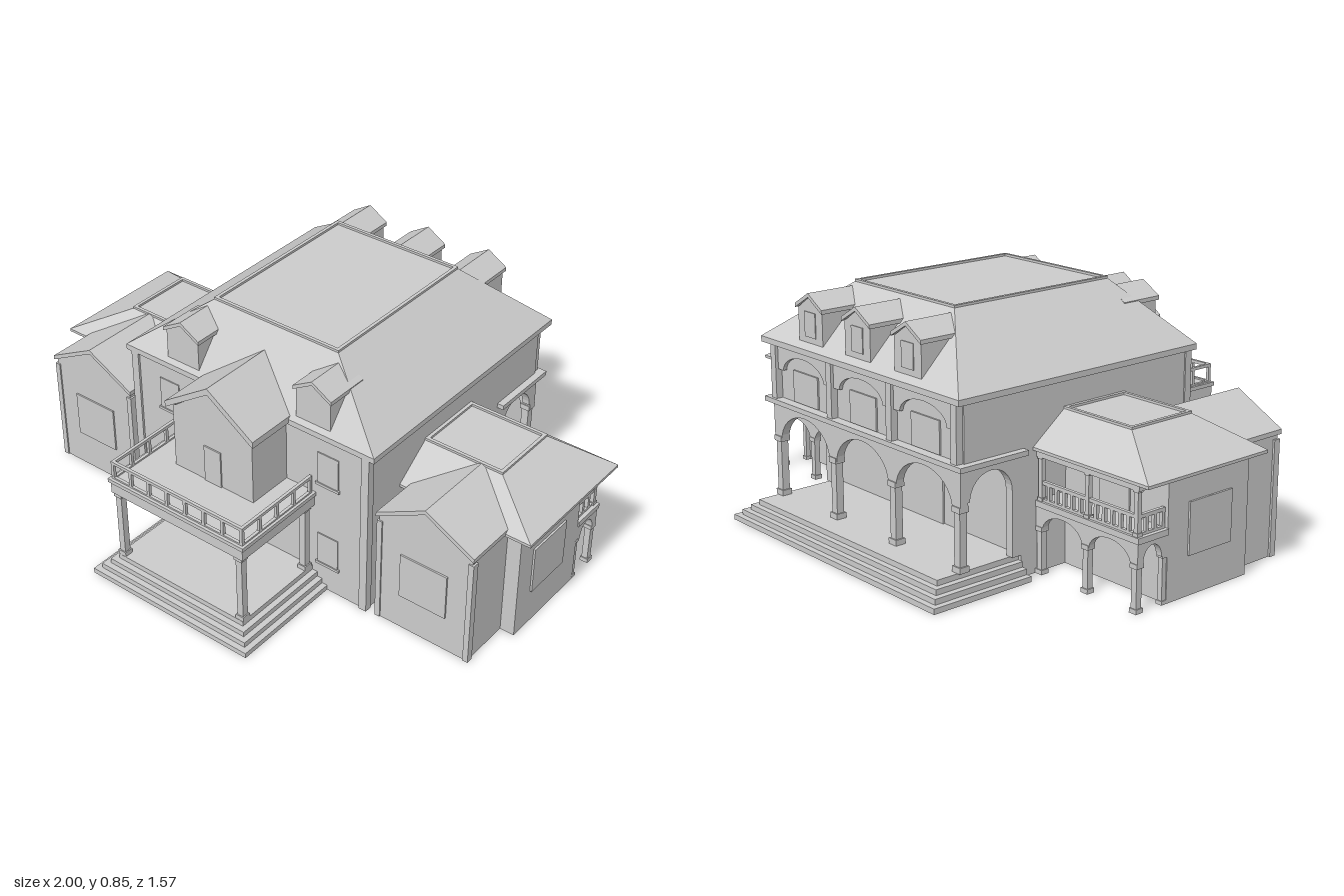
import * as THREE from 'three';

const material = new THREE.MeshStandardMaterial({ color: 0xcccccc, flatShading: true, side: THREE.DoubleSide });

function add(parent, name, geometry) {
  const mesh = new THREE.Mesh(geometry, material);
  mesh.name = name;
  parent.add(mesh);
  return mesh;
}

// Box given by its limits on each axis
function box(parent, name, xa, xb, y0, y1, za, zb) {
  const g = new THREE.BoxGeometry(Math.abs(xb - xa), y1 - y0, Math.abs(zb - za));
  return add(parent, name, g.translate((xa + xb) / 2, (y0 + y1) / 2, (za + zb) / 2));
}

// Box without floor or ceiling
function walls(parent, name, ...limits) {
  const g = box(parent, name, ...limits).geometry;
  const index = Array.from(g.index.array);
  g.setIndex([...index.slice(0, 12), ...index.slice(24)]);
  g.clearGroups();
}

// Hipped roof: fascia, sloping block and a raised rim round the flat top; rect = [x0, x1, z0, z1]
function hipRoof(parent, name, eave, top, y0, y1, fascia) {
  const [ex0, ex1, ez0, ez1] = eave, [tx0, tx1, tz0, tz1] = top;
  box(parent, name + 'Fascia', ex0, ex1, y0 - fascia, y0, ez0, ez1);
  const g = new THREE.BoxGeometry(1, 1, 1), p = g.attributes.position, rim = 0.008;
  for (let i = 0; i < p.count; i++) {
    const up = p.getY(i) > 0, r = up ? top : eave;
    p.setXYZ(i, r[p.getX(i) > 0 ? 1 : 0], up ? y1 - rim : y0, r[p.getZ(i) > 0 ? 3 : 2]);
  }
  g.computeVertexNormals();
  add(parent, name, g);
  const t = 0.012;
  box(parent, name + 'Rim', tx0, tx1, y1 - rim, y1, tz0, tz0 + t);
  box(parent, name + 'Rim', tx0, tx1, y1 - rim, y1, tz1 - t, tz1);
  box(parent, name + 'Rim', tx0, tx0 + t, y1 - rim, y1, tz0 + t, tz1 - t);
  box(parent, name + 'Rim', tx1 - t, tx1, y1 - rim, y1, tz0 + t, tz1 - t);
}

function extrude(points, depth) {
  const shape = new THREE.Shape(points.map(([x, y]) => new THREE.Vector2(x, y)));
  return new THREE.ExtrudeGeometry(shape, { depth, bevelEnabled: false });
}

// Gabled block facing +z or -z (dir); z1 is the outer edge of its roof, z0 the ridge's inner end
function gable(parent, name, cx, half, y0, eave, ridge, z0, z1, over, thick) {
  const dir = Math.sign(z1 - z0), wall = z1 - dir * over, w = half - over;
  const drop = thick * 0.9;
  const front = extrude([[-w, eave - drop], [w, eave - drop], [0, ridge - drop]], 0.004);
  add(parent, name + 'Pediment', front.translate(cx, 0, wall - (dir > 0 ? 0.004 : 0)));
  walls(parent, name + 'Walls', cx - w, cx + w, y0, eave - drop * 0.6, z0, wall);
  const roof = extrude([[-half, eave], [-half, eave - thick], [0, ridge - thick],
    [half, eave - thick], [half, eave], [0, ridge]], Math.abs(z1 - z0));
  add(parent, name + 'Roof', roof.translate(cx, 0, Math.min(z0, z1)));
}

// Square column with plinth and capital
function column(parent, name, x, z, y0, y1, w) {
  const h = w / 2, k = h * 1.35, c = w * 0.7;
  box(parent, name, x - h, x + h, y0, y1, z - h, z + h);
  box(parent, name + 'Base', x - k, x + k, y0, y0 + c, z - k, z + k);
  box(parent, name + 'Capital', x - k, x + k, y1 - c, y1, z - k, z + k);
}

// Wall strip with n round-headed openings, along x or along z
function arches(parent, name, alongZ, a, b, n, pier, spring, rise, top, at, thick) {
  const a0 = Math.min(a, b), a1 = Math.max(a, b), bay = (a1 - a0 - pier) / n, r = (bay - pier) / 2;
  const s = new THREE.Shape();
  s.moveTo(a0, top); s.lineTo(a0, spring);
  for (let i = 0; i < n; i++) {
    const c = a0 + pier / 2 + bay * (i + 0.5);
    s.lineTo(c - r, spring);
    s.absellipse(c, spring, r, rise, Math.PI, 0, true);
  }
  s.lineTo(a1, spring); s.lineTo(a1, top);
  const g = new THREE.ExtrudeGeometry(s, { depth: thick, bevelEnabled: false, curveSegments: 8 });
  if (alongZ) g.rotateY(-Math.PI / 2).translate(at + thick / 2, 0, 0);
  else g.translate(0, 0, at - thick / 2);
  add(parent, name, g);
}

// Railing between two points, with n panels
function railing(parent, name, [xa, za], [xb, zb], y0, y1, n, w) {
  const h = w / 2, x0 = Math.min(xa, xb), x1 = Math.max(xa, xb), z0 = Math.min(za, zb), z1 = Math.max(za, zb);
  box(parent, name + 'TopRail', x0 - h, x1 + h, y1 - w, y1, z0 - h, z1 + h);
  box(parent, name + 'BottomRail', x0 - h, x1 + h, y0, y0 + w * 0.7, z0 - h, z1 + h);
  for (let i = 0; i <= n; i++) {
    const x = x0 + (x1 - x0) * i / n, z = z0 + (z1 - z0) * i / n;
    box(parent, name + 'Post', x - h, x + h, y0, y1, z - h, z + h);
  }
}

// Stepped platform growing outwards on every side but the one at the house
function platform(parent, name, half, zHouse, zOut, steps, height) {
  const dir = Math.sign(zOut - zHouse);
  for (let i = 0; i < steps; i++) {
    const d = i * 0.021;
    box(parent, name, -half + d, half - d, height * i / steps, height * (i + 1) / steps, zHouse, zOut - dir * d);
  }
}

function buildMain(house) {
  const g = new THREE.Group();
  g.name = 'mainHouse';
  house.add(g);
  walls(g, 'lowerWalls', -0.5, 0.5, 0, 0.41, -0.39, 0.36);
  walls(g, 'upperWalls', -0.5, 0.5, 0.41, 0.62, -0.62, 0.36);
  box(g, 'porchCeiling', -0.5, 0.5, 0.405, 0.415, -0.63, -0.38);
  box(g, 'porchLedge', -0.525, 0.525, 0.41, 0.427, -0.655, -0.38);
  hipRoof(g, 'mainRoof', [-0.525, 0.525, -0.66, 0.37], [-0.26, 0.26, -0.455, 0.21], 0.64, 0.85, 0.02);
  for (const s of [-1, 1]) {
    box(g, 'cornerPilaster', s * 0.475, s * 0.505, 0, 0.62, 0.34, 0.368);
    gable(g, 'frontDormer', s * 0.275, 0.077, 0.64, 0.775, 0.82, 0.2, 0.365, 0.008, 0.014);
    for (const y of [0.17, 0.5]) {
      box(g, 'frontWindow', s * 0.34 - 0.042, s * 0.34 + 0.042, y - 0.06, y + 0.06, 0.35, 0.364);
      box(g, 'windowSill', s * 0.34 - 0.048, s * 0.34 + 0.048, y - 0.068, y - 0.058, 0.35, 0.368);
    }
  }
  for (const x of [-0.258, 0, 0.258]) {
    gable(g, 'backDormer', x, 0.075, 0.64, 0.785, 0.83, -0.46, -0.648, 0.008, 0.014);
    box(g, 'dormerWindow', x - 0.03, x + 0.03, 0.68, 0.765, -0.63, -0.643);
  }

  // Back arcade with pilasters and arched panels above
  platform(g, 'backSteps', 0.55, -0.39, -0.783, 4, 0.075);
  arches(g, 'backArches', false, -0.5, 0.5, 3, 0.04, 0.275, 0.11, 0.41, -0.62, 0.03);
  for (let i = 0; i < 4; i++) {
    const x = -0.48 + i * 0.32;
    column(g, 'backColumn', x, -0.62, 0.075, 0.29, 0.028);
    box(g, 'upperPilaster', x - 0.014, x + 0.014, 0.427, 0.62, -0.645, -0.61);
    if (i < 3) {
      box(g, 'upperWindow', x + 0.09, x + 0.23, 0.43, 0.54, -0.615, -0.626);
      arches(g, 'upperArch', false, x + 0.014, x + 0.306, 1, 0.03, 0.53, 0.06, 0.62, -0.626, 0.016);
    }
  }
  for (const s of [-1, 1]) {
    arches(g, 'sideArch', true, -0.39, -0.635, 1, 0.037, 0.3, 0.085, 0.41, s * 0.485, 0.03);
    box(g, 'wallPier', s * 0.47, s * 0.5, 0.075, 0.3, -0.425, -0.385);
  }
  box(g, 'backDoor', -0.12, 0.12, 0.075, 0.32, -0.38, -0.397);
}

function buildEntrance(house) {
  const g = new THREE.Group();
  g.name = 'entrance';
  house.add(g);
  platform(g, 'frontSteps', 0.337, 0.36, 0.783, 4, 0.075);
  box(g, 'balconyFloor', -0.283, 0.283, 0.335, 0.39, 0.36, 0.722);
  box(g, 'balconyEdge', -0.29, 0.29, 0.378, 0.392, 0.36, 0.728);
  for (const s of [-1, 1]) {
    for (const z of [0.703, 0.385]) column(g, 'porchColumn', s * 0.26, z, 0.075, 0.338, 0.024);
    railing(g, 'sideRailing', [s * 0.275, 0.375], [s * 0.275, 0.712], 0.39, 0.46, 4, 0.011);
    box(g, 'doorJamb', s * 0.235, s * 0.25, 0.075, 0.335, 0.355, 0.372);
  }
  railing(g, 'frontRailing', [-0.275, 0.712], [0.275, 0.712], 0.39, 0.46, 7, 0.011);
  box(g, 'frontDoor', -0.235, 0.235, 0.075, 0.325, 0.355, 0.365);
  // Gabled bay over the balcony
  gable(g, 'bay', 0, 0.185, 0.39, 0.65, 0.775, 0.25, 0.548, 0.018, 0.024);
  box(g, 'balconyDoor', -0.035, 0.035, 0.39, 0.53, 0.52, 0.535);
}

function buildWing(house, s) {
  const g = new THREE.Group();
  g.name = s > 0 ? 'leftWing' : 'rightWing';
  house.add(g);
  const span = (a, b) => (s > 0 ? [a, b] : [-b, -a]);
  walls(g, 'wingWalls', s * 0.5, s * 0.95, 0, 0.41, -0.2, 0.16);
  hipRoof(g, 'wingRoof', [...span(0.5, 1), -0.34, 0.19], [...span(0.5, 0.8), -0.21, 0.055], 0.422, 0.53, 0.01);
  box(g, 'sideWindow', s * 0.94, s * 0.957, 0.135, 0.31, -0.11, 0.08);

  // Front gable
  gable(g, 'wingGable', s * 0.72, 0.187, 0, 0.432, 0.53, 0.05, 0.364, 0.009, 0.016);
  box(g, 'gableWindow', s * 0.63, s * 0.81, 0.135, 0.305, 0.345, 0.361);
  for (const x of [0.545, 0.895]) box(g, 'gablePilaster', s * x - 0.01, s * x + 0.01, 0, 0.4, 0.335, 0.36);

  // Back loggia: arches below, balcony above
  arches(g, 'loggiaArches', false, s * 0.5, s * 0.95, 2, 0.03, 0.15, 0.06, 0.23, -0.315, 0.024);
  arches(g, 'loggiaSideArch', true, -0.2, -0.327, 1, 0.024, 0.16, 0.05, 0.23, s * 0.938, 0.024);
  box(g, 'loggiaFloor', s * 0.5, s * 0.955, 0.225, 0.245, -0.2, -0.33);
  box(g, 'loggiaBeam', s * 0.5, s * 0.95, 0.39, 0.413, -0.303, -0.327);
  box(g, 'loggiaSideBeam', s * 0.926, s * 0.95, 0.39, 0.413, -0.2, -0.327);
  for (const x of [0.515, 0.725, 0.935]) {
    column(g, 'loggiaColumn', s * x, -0.315, 0, 0.16, 0.022);
    column(g, 'balconyColumn', s * x, -0.315, 0.245, 0.395, 0.016);
  }
  column(g, 'wallColumn', s * 0.938, -0.208, 0, 0.165, 0.018);
  railing(g, 'loggiaRailing', [s * 0.515, -0.315], [s * 0.935, -0.315], 0.245, 0.312, 12, 0.012);
  railing(g, 'loggiaSideRailing', [s * 0.935, -0.21], [s * 0.935, -0.315], 0.245, 0.312, 3, 0.012);
  box(g, 'loggiaDoor', s * 0.66, s * 0.79, 0.245, 0.38, -0.195, -0.206);
}

export function createModel() {
  const house = new THREE.Group();
  house.name = 'house';
  buildMain(house);
  buildEntrance(house);
  for (const s of [-1, 1]) buildWing(house, s);
  return house;
}
